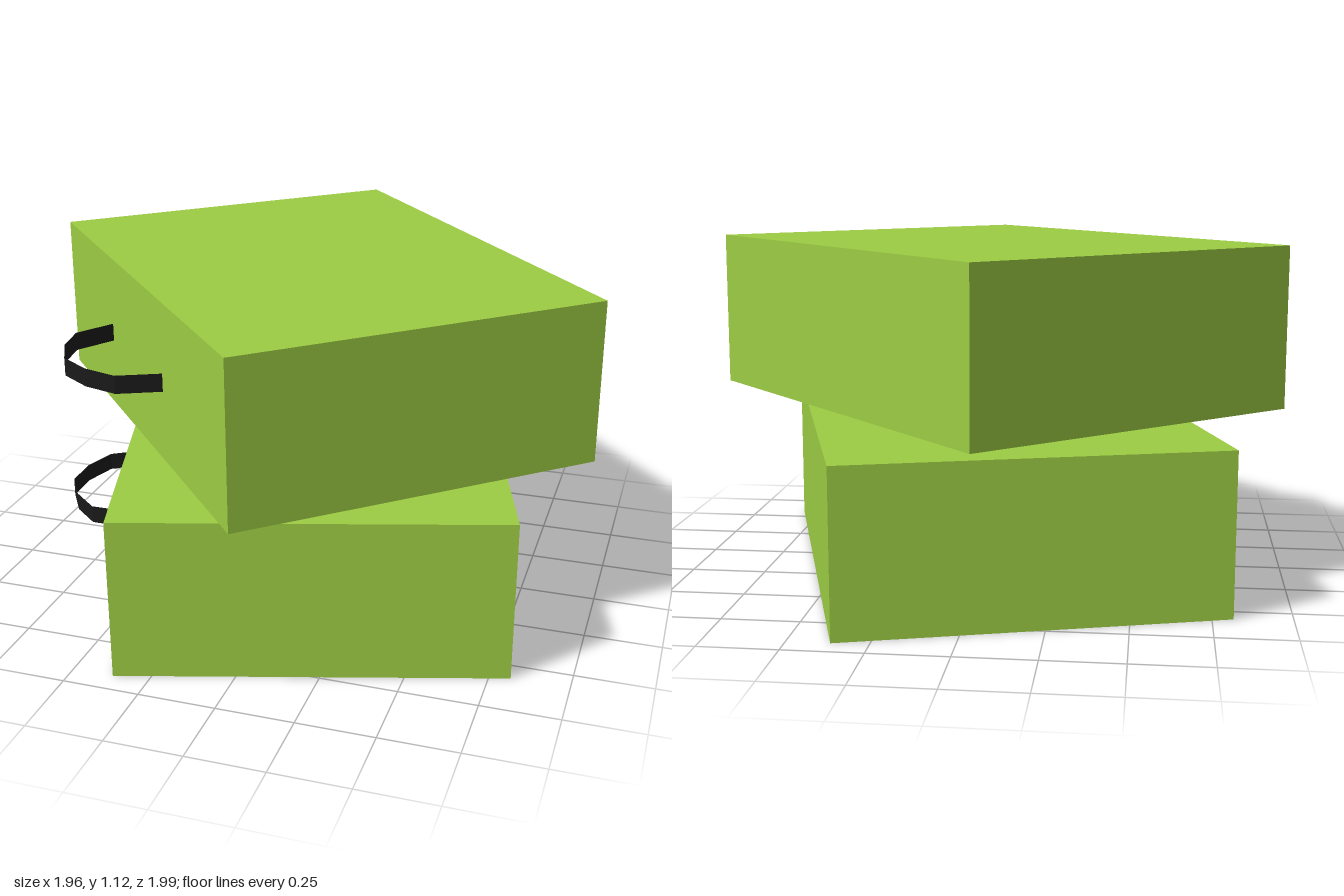
import * as THREE from 'three';

const WIDTH = 1.234, HEIGHT = 0.53, LENGTH = 1.57;

// Half of the handle's bow seen from above: [distance out, distance along]
const HALF_BOW = [[0, 0.262], [0.14, 0.22], [0.205, 0.12]];

// Flat upright band that follows the bow, standing out along -x
function bandGeometry(height) {
  const path = [
    ...HALF_BOW.map(([out, along]) => [out, -along]),
    [0.238, 0],
    ...[...HALF_BOW].reverse(),
  ];
  const positions = [];
  const index = [];
  path.forEach(([out, along], i) => {
    positions.push(-out, -height / 2, along, -out, height / 2, along);
    if (i > 0) {
      const a = 2 * (i - 1);
      index.push(a, a + 2, a + 1, a + 1, a + 2, a + 3);
    }
  });
  const indexed = new THREE.BufferGeometry();
  indexed.setAttribute('position', new THREE.Float32BufferAttribute(positions, 3));
  indexed.setIndex(index);
  const geometry = indexed.toNonIndexed();
  geometry.computeVertexNormals();
  return geometry;
}

export function createModel() {
  const green = new THREE.MeshStandardMaterial({ color: 0x9ccc43 });
  green.name = 'leaf green';
  const black = new THREE.MeshStandardMaterial({ color: 0x1a1a1a, side: THREE.DoubleSide });
  black.name = 'handle black';

  const boxShape = new THREE.BoxGeometry(WIDTH, HEIGHT, LENGTH);
  const bandShape = bandGeometry(0.06);

  // A case with one carrying handle on its long side
  function makeCase(name, bottom, turn) {
    const group = new THREE.Group();
    group.name = name;
    const body = new THREE.Mesh(boxShape, green);
    body.name = name + 'Body';
    const handle = new THREE.Mesh(bandShape, black);
    handle.name = name + 'Handle';
    handle.position.set(-WIDTH / 2, 0, -0.028);
    group.add(body, handle);
    group.position.y = bottom + HEIGHT / 2;
    group.rotation.y = turn;
    return group;
  }

  // Two cases stacked with a small gap, each turned differently
  const model = new THREE.Group();
  model.name = 'stackedCases';
  model.add(makeCase('lowerCase', 0, 0.291), makeCase('upperCase', 0.59, 0.722));
  return model;
}
